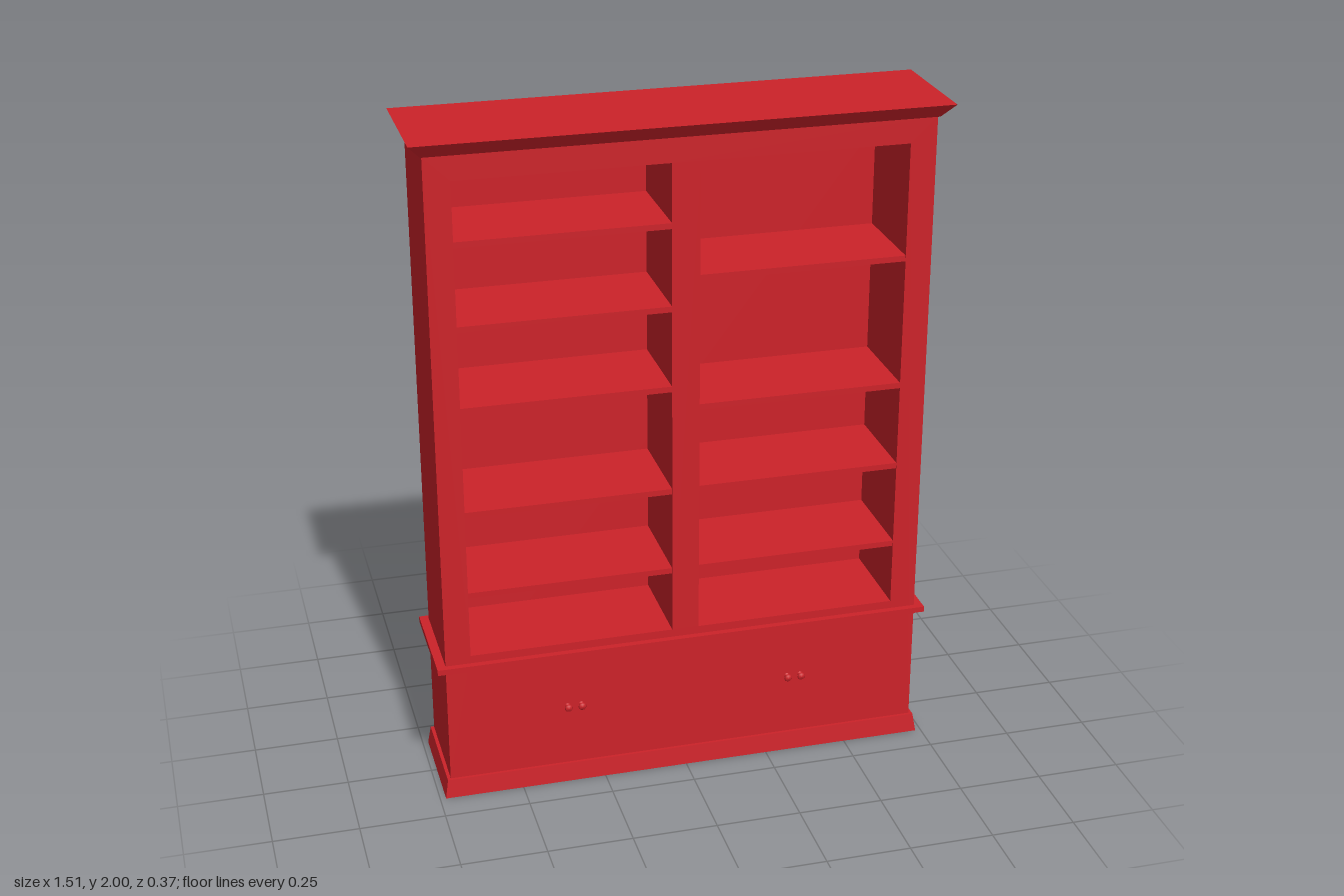
import * as THREE from 'three';

export function createModel() {
  const group = new THREE.Group();
  const red = new THREE.MeshStandardMaterial({ color: 0xcc2229 });

  const add = (name, geometry, x = 0, y = 0, z = 0) => {
    const mesh = new THREE.Mesh(geometry, red);
    mesh.name = name;
    mesh.position.set(x, y, z);
    group.add(mesh);
    return mesh;
  };

  // Box spanning x0..x1, y0..y1, z0..z1
  const block = (name, x0, x1, y0, y1, z0, z1) =>
    add(name, new THREE.BoxGeometry(x1 - x0, y1 - y0, z1 - z0), (x0 + x1) / 2, (y0 + y1) / 2, (z0 + z1) / 2);

  // Box whose upper face has its own half width and half depth
  const taperedBlock = (name, y0, y1, [bottomX, bottomZ], [topX, topZ]) => {
    const geometry = new THREE.BoxGeometry(2, y1 - y0, 2).toNonIndexed();
    const p = geometry.attributes.position;
    for (let i = 0; i < p.count; i++) {
      const top = p.getY(i) > 0;
      p.setX(i, p.getX(i) * (top ? topX : bottomX));
      p.setZ(i, p.getZ(i) * (top ? topZ : bottomZ));
    }
    geometry.computeVertexNormals();
    return add(name, geometry, 0, (y0 + y1) / 2, 0);
  };

  const rectangle = (path, x0, x1, y0, y1) =>
    path.moveTo(x0, y0).lineTo(x1, y0).lineTo(x1, y1).lineTo(x0, y1).closePath();

  const front = 0.145, back = -0.15, inner = -0.14;
  const halfWidth = 0.714, bodyTop = 1.96;
  const bayBottom = 0.46, bayTop = 1.888;

  // Each bay: its sides and the undersides of its shelves
  const bays = [
    { side: 'right', x0: -0.64, x1: -0.04, shelves: [0.646, 0.901, 1.219, 1.459, 1.701] },
    { side: 'left', x0: 0.04, x1: 0.638, shelves: [0.646, 0.901, 1.156, 1.544] },
  ];

  // Carcass with two open bays, closed by a thin back panel
  const outline = new THREE.Shape();
  rectangle(outline, -halfWidth, halfWidth, 0.055, bodyTop);
  for (const bay of bays) {
    const hole = new THREE.Path();
    rectangle(hole, bay.x0, bay.x1, bayBottom, bayTop);
    outline.holes.push(hole);
  }
  add('carcass', new THREE.ExtrudeGeometry(outline, { depth: front - inner, bevelEnabled: false }), 0, 0, inner);
  block('backPanel', -halfWidth, halfWidth, 0.055, bodyTop, back, inner);

  // Shelves
  for (const bay of bays) {
    bay.shelves.forEach((y, i) =>
      block(`${bay.side}Shelf${i + 1}`, bay.x0, bay.x1, y, y + 0.017, inner, front - 0.001));
  }

  // Plinth, waist ledge and flared cornice
  taperedBlock('plinth', 0, 0.057, [0.733, 0.161], [0.724, 0.154]);
  block('waistLedge', -0.74, 0.74, 0.419, 0.436, -0.167, 0.164);
  taperedBlock('cornice', bodyTop, 2, [0.718, 0.152], [0.754, 0.183]);

  // Door knobs: a narrow neck with a rounded head, pointing forward
  const profile = [[0.008, 0], [0.005, 0.003], [0.004, 0.008], [0.009, 0.011], [0.012, 0.015], [0.009, 0.019], [0, 0.021]]
    .map(([r, h]) => new THREE.Vector2(r, h));
  const knobGeometry = new THREE.LatheGeometry(profile, 16).rotateX(Math.PI / 2);
  for (const x of [-0.358, -0.317, 0.317, 0.358]) add('doorKnob', knobGeometry, x, 0.25, front);

  return group;
}
